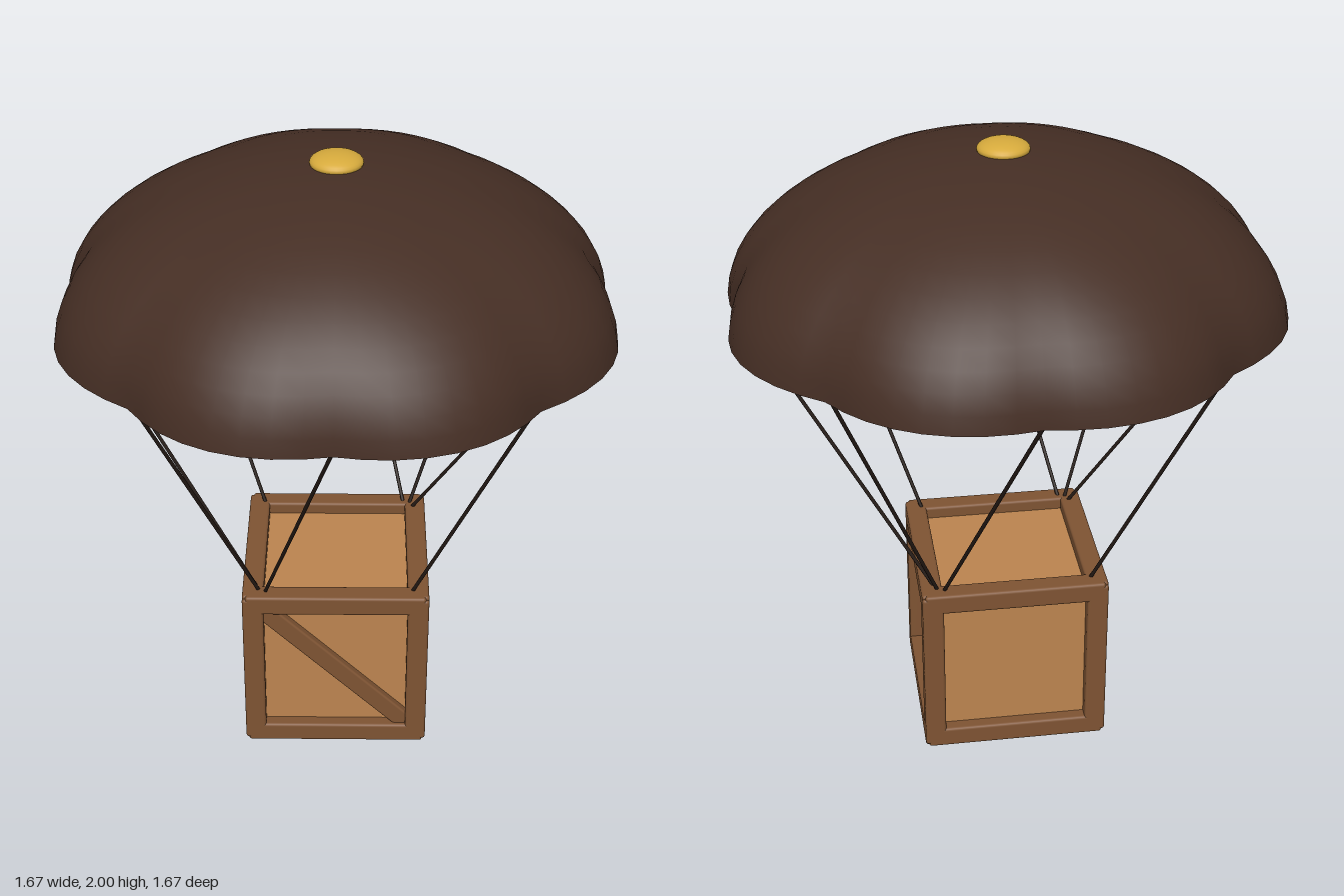
import * as THREE from 'three';
import { RoundedBoxGeometry } from 'three/addons/geometries/RoundedBoxGeometry.js';

const mat = (name, color) => Object.assign(new THREE.MeshStandardMaterial({ color }), { name });

// Surface of closed rings: pointAt(t, angle) gives a vertex, t running 0..1
function ringSurface(rows, segments, pointAt) {
  const pos = [], index = [];
  for (let i = 0; i <= rows; i++)
    for (let j = 0; j < segments; j++) pos.push(...pointAt(i / rows, (j / segments) * Math.PI * 2));
  for (let i = 0; i < rows; i++)
    for (let j = 0; j < segments; j++) {
      const k = (j + 1) % segments;
      const a = i * segments + j, b = a + segments, c = (i + 1) * segments + k, d = i * segments + k;
      index.push(a, b, c, a, c, d);
    }
  const geo = new THREE.BufferGeometry();
  geo.setAttribute('position', new THREE.Float32BufferAttribute(pos, 3));
  geo.setIndex(index);
  geo.computeVertexNormals();
  return geo;
}

export function createModel() {
  const canopyMat = mat('dark brown cloth', 0x452e24);
  const cordMat = mat('cord', 0x241a15);
  const goldMat = mat('gold', 0xd6aa3c);
  const beamMat = mat('dark wood', 0x7f5433);
  const panelMat = mat('light wood', 0xbd8550);

  const model = new THREE.Group();
  model.name = 'parachuteCrate';
  const add = (parent, name, geo, material, x = 0, y = 0, z = 0) => {
    const mesh = new THREE.Mesh(geo, material);
    mesh.name = name;
    mesh.position.set(x, y, z);
    parent.add(mesh);
    return mesh;
  };

  // Canopy: flattened dome with eight scallops that fade towards the top
  const dome = (inset) => (t, angle) => {
    const phi = Math.max(t, 0.0005) * Math.PI / 2;
    const lobe = Math.abs(Math.sin(4 * angle));
    const r = (0.815 - inset + 0.055 * lobe * Math.pow(t, 1.5)) * Math.sin(phi);
    const rim = inset ? 1.475 : 1.485;
    const y = rim + (1.967 - inset - rim) * Math.cos(phi) - 0.008 * (1 - lobe) * t ** 4;
    return [r * Math.sin(angle), y, r * Math.cos(angle)];
  };
  const outer = dome(0), inner = dome(0.025);
  const canopy = new THREE.Group();
  canopy.name = 'canopy';
  model.add(canopy);
  add(canopy, 'canopyOutside', ringSurface(14, 64, outer), canopyMat);
  add(canopy, 'canopyInside', ringSurface(14, 64, (t, a) => inner(1 - t, a)), canopyMat);
  add(canopy, 'canopyRim', ringSurface(1, 64, (t, a) => (t ? inner : outer)(1, a)), canopyMat);

  // Gold button on top
  add(model, 'topButton', new THREE.SphereGeometry(0.08, 32, 16), goldMat, 0, 1.97, 0).scale.y = 0.37;

  // Cords: from each scallop seam to a top corner of the crate
  const cords = new THREE.Group();
  cords.name = 'cords';
  model.add(cords);
  for (let i = 0; i < 8; i++) {
    const angle = (i * Math.PI) / 4;
    const sx = Math.sin(angle), sz = Math.cos(angle);
    // Straight seams run to the two opposite corners (-x, +z) and (+x, -z)
    const cx = Math.abs(sx) > 0.1 ? Math.sign(sx) : -Math.sign(sz);
    const cz = Math.abs(sz) > 0.1 ? Math.sign(sz) : -Math.sign(sx);
    const top = new THREE.Vector3(0.8 * sx, 1.485, 0.8 * sz);
    const end = new THREE.Vector3(0.235 * cx, 0.56, 0.235 * cz);
    const path = new THREE.LineCurve3(end, top);
    add(cords, 'cord', new THREE.TubeGeometry(path, 1, 0.006, 8), cordMat);
  }

  // Crate: recessed panels inside a frame of twelve chamfered beams
  const crate = new THREE.Group();
  crate.name = 'crate';
  crate.position.y = 0.3;
  model.add(crate);
  add(crate, 'cratePanels', new THREE.BoxGeometry(0.52, 0.52, 0.52), panelMat);
  const w = 0.068, len = 0.58, off = 0.266;
  const beams = [[len, w, w], [w, len, w], [w, w, len]].map((s) => new RoundedBoxGeometry(...s, 2, 0.009));
  for (const a of [-off, off])
    for (const b of [-off, off]) {
      add(crate, 'beamAcross', beams[0], beamMat, 0, a, b);
      add(crate, 'post', beams[1], beamMat, a, 0, b);
      add(crate, 'beamDeep', beams[2], beamMat, a, b, 0);
    }

  // Diagonal braces on the front and the -x side, meeting at the same top corner
  const braceGeo = new RoundedBoxGeometry(0.66, 0.064, 0.04, 2, 0.007);
  add(crate, 'frontBrace', braceGeo, beamMat, 0, 0, 0.265).rotation.z = -Math.PI / 4;
  const side = new THREE.Group();
  side.name = 'sideBraceMount';
  side.rotation.y = -Math.PI / 2;
  crate.add(side);
  add(side, 'sideBrace', braceGeo, beamMat, 0, 0, 0.265).rotation.z = Math.PI / 4;

  return model;
}
